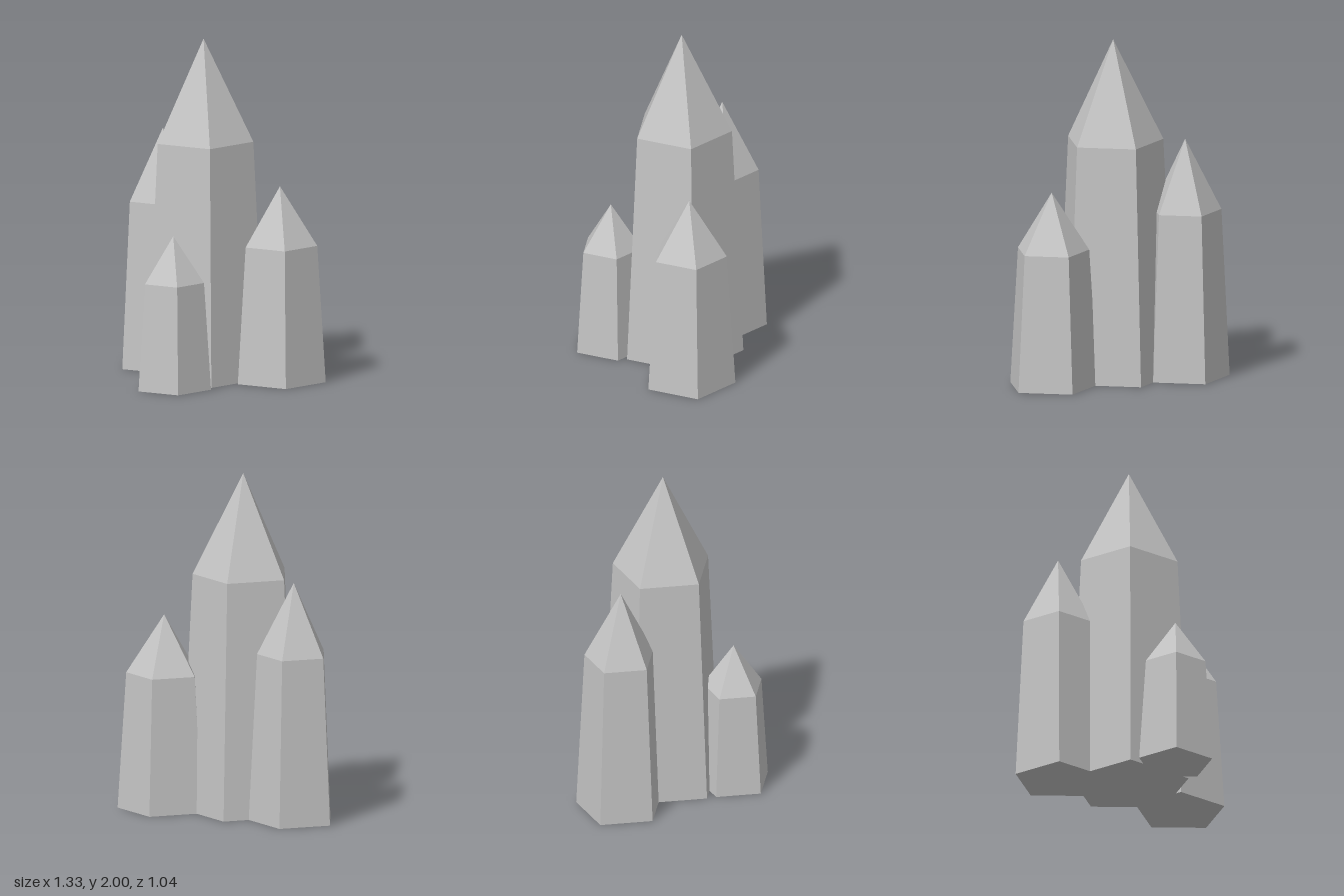
import * as THREE from 'three';

const stone = new THREE.MeshStandardMaterial({ color: 0xc4c4c4 });
stone.name = 'grey crystal';

// One five-sided crystal: closed base, tapering shaft, pointed tip, one corner facing back
function crystal(name, x, z, radius, height) {
  const profile = [
    new THREE.Vector2(0, 0),
    new THREE.Vector2(radius, 0),
    new THREE.Vector2(radius * 0.815, height * 0.7),
    new THREE.Vector2(0, height),
  ];
  const geometry = new THREE.LatheGeometry(profile, 5, Math.PI).toNonIndexed();
  geometry.computeVertexNormals(); // flat facets
  const mesh = new THREE.Mesh(geometry, stone);
  mesh.name = name;
  mesh.position.set(x, 0, z);
  return mesh;
}

export function createModel() {
  const group = new THREE.Group();
  group.name = 'crystalCluster';
  group.add(
    crystal('mainCrystal', -0.045, -0.074, 0.362, 2.0),
    crystal('rightCrystal', -0.418, -0.264, 0.262, 1.41),
    crystal('leftCrystal', 0.406, -0.176, 0.271, 1.15),
    crystal('frontCrystal', -0.02, 0.338, 0.2235, 0.9),
  );
  return group;
}
